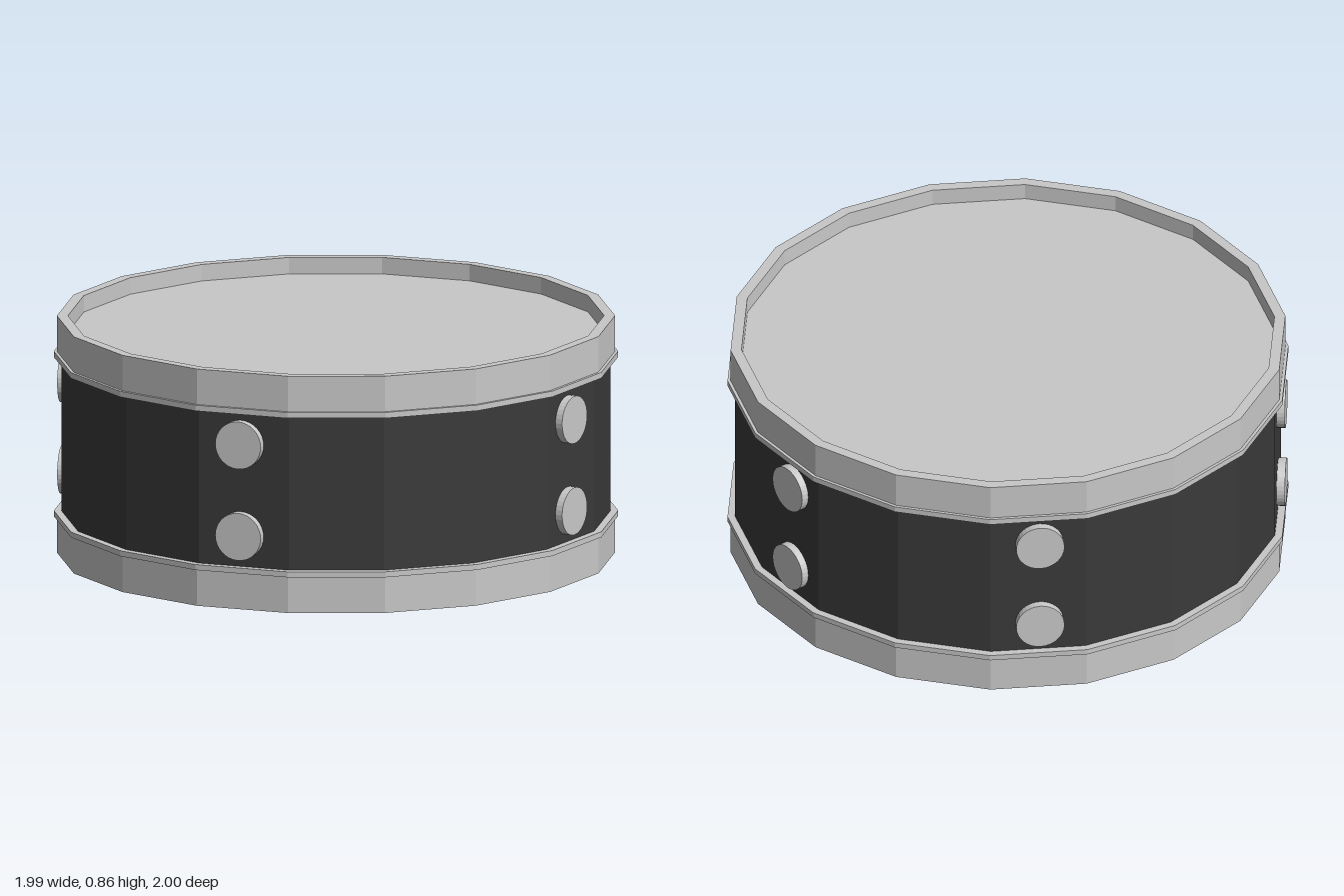
import * as THREE from 'three';

const SIDES = 18;
const TURN = THREE.MathUtils.degToRad(3.2);

export function createModel() {
  const drum = new THREE.Group();
  drum.name = 'drum';

  const silver = new THREE.MeshStandardMaterial({ color: 0xc8c8c8, flatShading: true });
  silver.name = 'silver grey';
  const black = new THREE.MeshStandardMaterial({ color: 0x3a3a3a, flatShading: true });
  black.name = 'charcoal';

  // Faceted ring or disc turned from a [radius, height] profile, listed outside-up
  const turned = (name, profile, material) => {
    const points = profile.map(([r, y]) => new THREE.Vector2(r, y));
    const mesh = new THREE.Mesh(new THREE.LatheGeometry(points, SIDES, TURN), material);
    mesh.name = name;
    drum.add(mesh);
  };

  // Dark shell between the hoops
  turned('shell', [[0.973, 0.13], [0.973, 0.73]], black);

  // Bottom hoop with flat lower head and a thin lip on top
  turned('bottomHoop', [[0, 0], [0.989, 0], [0.989, 0.132], [1, 0.132], [1, 0.152], [0.97, 0.152]], silver);

  // Top hoop with lip below and a raised rim
  turned('topHoop', [
    [0.97, 0.71], [1, 0.71], [1, 0.731], [0.989, 0.731],
    [0.989, 0.86], [0.95, 0.86], [0.95, 0.79],
  ], silver);

  // Recessed playing surface
  turned('drumHead', [[0.96, 0.8], [0, 0.8]], silver);

  // Pairs of round lugs, angles measured from the front towards +x
  const lugGeometry = new THREE.CylinderGeometry(0.086, 0.086, 0.055, 32);
  lugGeometry.rotateX(Math.PI / 2);
  for (const degrees of [12, 74.5, 133.5, 213.5, 292.5]) {
    const pair = new THREE.Group();
    pair.name = 'lugPair';
    pair.rotation.y = THREE.MathUtils.degToRad(degrees);
    for (const y of [0.265, 0.597]) {
      const lug = new THREE.Mesh(lugGeometry, silver);
      lug.name = 'lug';
      lug.position.set(0, y, 0.96);
      pair.add(lug);
    }
    drum.add(pair);
  }

  return drum;
}
